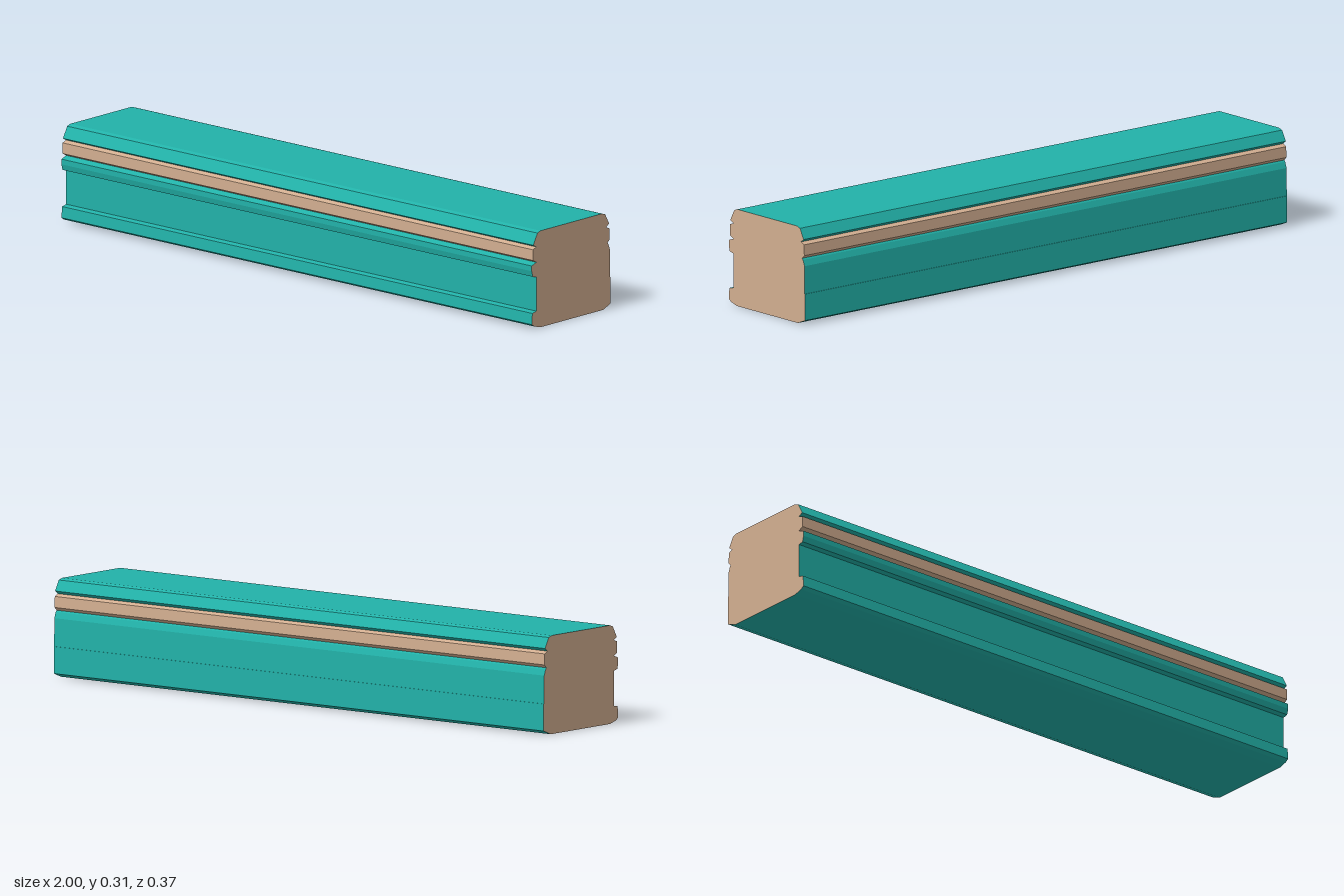
import * as THREE from 'three';

const HALF = 1;

// Cross-section as runs of [u, y] going anticlockwise seen from +x, where u = -z
const RUNS = [
  { name: 'lowerBody', colour: 'paint', points: [
    [-0.163, 0.215], [-0.185, 0.207], [-0.185, 0.19], [-0.18, 0.171], [-0.163, 0.167],
    [-0.163, 0.056], [-0.182, 0.052], [-0.185, 0.016], [-0.173, 0.008], [-0.145, 0],
    [0.15, 0], [0.185, 0.014], [0.185, 0.1], [0.183, 0.1], [0.182, 0.19], [0.175, 0.209], [0.171, 0.214]] },
  { name: 'backBand', colour: 'wood', points: [
    [0.171, 0.214], [0.181, 0.224], [0.18, 0.259], [0.165, 0.266]] },
  { name: 'upperBody', colour: 'paint', points: [
    [0.165, 0.266], [0.178, 0.276], [0.16, 0.309], [0.145, 0.314],
    [-0.144, 0.314], [-0.158, 0.309], [-0.178, 0.273], [-0.163, 0.265]] },
  { name: 'frontBand', colour: 'wood', points: [
    [-0.163, 0.265], [-0.18, 0.259], [-0.18, 0.224], [-0.163, 0.215]] },
];

// Sweeps an open run of the profile along x, one flat facet per segment
function sweep(points) {
  const positions = [];
  for (let i = 0; i < points.length - 1; i++) {
    const [u0, y0] = points[i];
    const [u1, y1] = points[i + 1];
    const a = [-HALF, y0, -u0], b = [-HALF, y1, -u1];
    const c = [HALF, y1, -u1], d = [HALF, y0, -u0];
    positions.push(...a, ...b, ...c, ...a, ...c, ...d);
  }
  const geometry = new THREE.BufferGeometry();
  geometry.setAttribute('position', new THREE.Float32BufferAttribute(positions, 3));
  geometry.computeVertexNormals();
  return geometry;
}

// Flat end face; side is +1 or -1 along x
function endFace(side) {
  const outline = RUNS.flatMap((run) => run.points.slice(0, -1));
  const shape = new THREE.Shape(outline.map(([u, y]) => new THREE.Vector2(u * side, y)));
  return new THREE.ShapeGeometry(shape).rotateY(side * Math.PI / 2).translate(side * HALF, 0, 0);
}

export function createModel() {
  const materials = {
    paint: new THREE.MeshStandardMaterial({ name: 'teal paint', color: 0x22b2a9 }),
    wood: new THREE.MeshStandardMaterial({ name: 'bare wood', color: 0xd2ae90 }),
  };
  const group = new THREE.Group();
  group.name = 'mouldedBeam';
  const add = (name, geometry, material) => {
    const mesh = new THREE.Mesh(geometry, material);
    mesh.name = name;
    group.add(mesh);
  };

  // Long painted faces and the bare bands
  for (const run of RUNS) add(run.name, sweep(run.points), materials[run.colour]);

  // Cut ends
  add('leftEnd', endFace(1), materials.wood);
  add('rightEnd', endFace(-1), materials.wood);
  return group;
}
